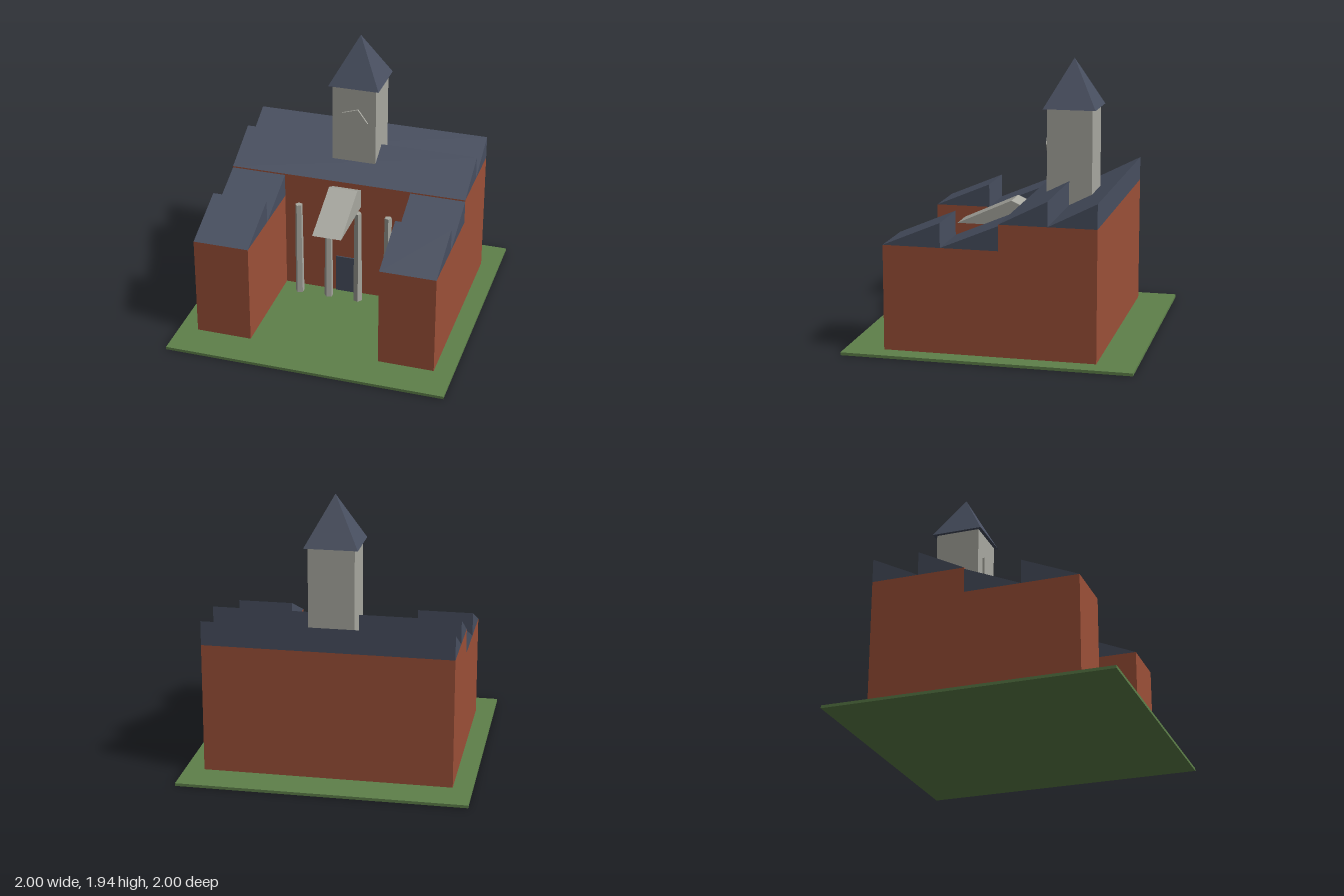
import * as THREE from 'three';

const mat = (name, color) => {
  const m = new THREE.MeshStandardMaterial({ color });
  m.name = name;
  return m;
};

export function createModel() {
  const group = new THREE.Group();
  const brick = mat('brick', 0x9c5038);
  const slate = mat('slate', 0x484f60);
  const stone = mat('stone', 0xa8a8a0);
  const grass = mat('grass', 0x5e804a);

  const add = (name, geometry, material) => {
    const mesh = new THREE.Mesh(geometry, material);
    mesh.name = name;
    group.add(mesh);
    return mesh;
  };

  // Box given by its extents
  const box = (name, material, x0, x1, y0, y1, z0, z1) =>
    add(name, new THREE.BoxGeometry(x1 - x0, y1 - y0, z1 - z0)
      .translate((x0 + x1) / 2, (y0 + y1) / 2, (z0 + z1) / 2), material);

  // Side profile of [z, y] points, extruded along x
  const prism = (name, material, x0, x1, profile) => {
    const shape = new THREE.Shape(profile.map(([z, y]) => new THREE.Vector2(z, y)));
    const geometry = new THREE.ExtrudeGeometry(shape, { depth: x1 - x0, bevelEnabled: false });
    add(name, geometry.rotateY(-Math.PI / 2).translate(x1, 0, 0), material);
  };

  // Two sawtooth wedges, each rising towards the back
  const sawtooth = (name, x0, x1, zFront, zBack, y0, y1) => {
    const zMid = (zFront + zBack) / 2;
    for (const [a, b] of [[zFront, zMid], [zMid, zBack]]) {
      prism(name, slate, x0, x1, [[a, y0], [b, y1], [b, y0]]);
    }
  };

  box('lawn', grass, -1, 1, 0, 0.02, -1, 1);

  // Main hall
  box('mainHall', brick, -0.865, 0.865, 0.02, 0.93, -0.732, -0.067);
  sawtooth('mainRoof', -0.865, 0.865, -0.067, -0.732, 0.93, 1.1);
  box('door', slate, -0.08, 0.08, 0.02, 0.31, -0.067, -0.058);

  // Side wings
  for (const [side, x0, x1] of [['left', 0.467, 0.865], ['right', -0.865, -0.467]]) {
    box(side + 'Wing', brick, x0, x1, 0.02, 0.75, -0.067, 0.732);
    sawtooth(side + 'WingRoof', x0, x1, 0.732, -0.067, 0.75, 0.92);
  }

  // Portico: gable and tapered five-sided columns, mirrored
  prism('porticoGable', stone, -0.105, 0.105, [[0.42, 0.75], [0.025, 0.93], [-0.37, 0.75]]);
  for (const side of [-1, 1]) {
    for (const x of [0.11, 0.333]) {
      add('column', new THREE.CylinderGeometry(0.027, 0.033, 0.73, 5, 1, false, side * Math.PI / 2)
        .toNonIndexed().translate(side * x, 0.385, 0.025), stone)
        .geometry.computeVertexNormals();
    }
  }

  // Tower with spire and five-sided clock face
  box('tower', stone, -0.16, 0.16, 0.93, 1.6, -0.56, -0.24);
  const spire = new THREE.ConeGeometry(0.185 * Math.SQRT2, 0.34, 4)
    .rotateY(Math.PI / 4).toNonIndexed().translate(0, 1.77, -0.4);
  spire.computeVertexNormals();
  add('spire', spire, slate);
  const clock = new THREE.CylinderGeometry(0.105, 0.105, 0.014, 5, 1, false, Math.PI / 2)
    .rotateX(Math.PI / 2).toNonIndexed().translate(0, 1.34, -0.227);
  clock.computeVertexNormals();
  add('clockFace', clock, stone);

  return group;
}
